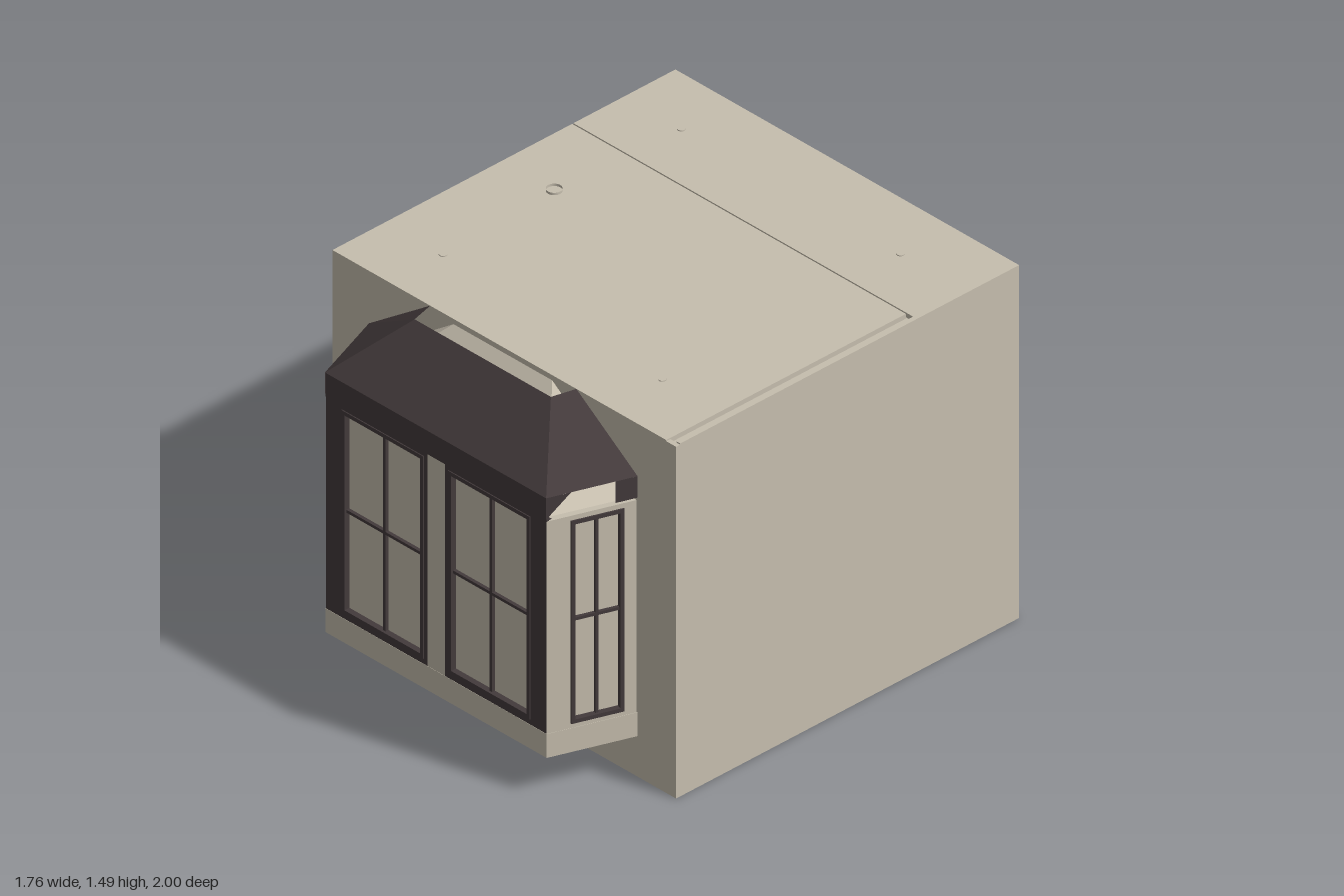
import * as THREE from 'three';

export function createModel() {
  const root = new THREE.Group();
  const wall = new THREE.MeshStandardMaterial({ name: 'warm plaster', color: 0xc6beae });
  const plaster = new THREE.MeshStandardMaterial({ name: 'warm plaster lining', color: 0xc6beae, side: THREE.DoubleSide });
  const dark = new THREE.MeshStandardMaterial({ name: 'dark timber', color: 0x433a3b, side: THREE.DoubleSide });
  const black = new THREE.MeshStandardMaterial({ name: 'black metal', color: 0x252223 });

  const add = (parent, name, geo, mat) => {
    const m = new THREE.Mesh(geo, mat);
    m.name = name;
    parent.add(m);
    return m;
  };
  // box given by its lower and upper limits
  const box = (parent, name, mat, x0, x1, y0, y1, z0, z1) => {
    const m = add(parent, name, new THREE.BoxGeometry(x1 - x0, y1 - y0, z1 - z0), mat);
    m.position.set((x0 + x1) / 2, (y0 + y1) / 2, (z0 + z1) / 2);
    return m;
  };
  // flat polygons, fanned from their first corner
  const faces = (parent, name, mat, polys) => {
    const pos = [];
    for (const p of polys) for (let i = 1; i < p.length - 1; i++) pos.push(...p[0], ...p[i], ...p[i + 1]);
    const g = new THREE.BufferGeometry();
    g.setAttribute('position', new THREE.Float32BufferAttribute(pos, 3));
    g.computeVertexNormals();
    return add(parent, name, g, mat);
  };
  // four rails around an opening, facing local +z
  const frame = (parent, name, mat, x0, x1, y0, y1, t, z0, z1) => {
    box(parent, name, mat, x0, x0 + t, y0, y1, z0, z1);
    box(parent, name, mat, x1 - t, x1, y0, y1, z0, z1);
    box(parent, name, mat, x0 + t, x1 - t, y0, y0 + t, z0, z1);
    box(parent, name, mat, x0 + t, x1 - t, y1 - t, y1, z0, z1);
  };

  // room shell
  const room = new THREE.Group();
  room.name = 'room';
  root.add(room);
  box(room, 'roomCore', wall, -0.85, 0.85, 0.02, 1.46, -0.96, 0.65);
  box(room, 'frontWall', wall, -0.87, 0.87, 0, 1.475, 0.65, 0.67);
  box(room, 'rightWall', wall, 0.85, 0.87, 0, 1.48, -1, 0.65);
  box(room, 'floor', wall, -0.87, 0.85, 0, 0.02, -1, 0.65);
  box(room, 'rearCeiling', wall, -0.87, 0.85, 1.46, 1.48, -1, -0.503);
  box(room, 'frontCeiling', wall, -0.87, 0.82, 1.46, 1.48, -0.497, 0.67);

  // ceiling spots and round fixture
  for (const x of [-0.58, 0.53]) for (const z of [-0.75, 0.41]) {
    add(room, 'ceilingSpot', new THREE.CylinderGeometry(0.016, 0.016, 0.006, 12), wall).position.set(x, 1.481, z);
  }
  add(room, 'ceilingFixture', new THREE.CylinderGeometry(0.03, 0.03, 0.012, 20, 1, true), plaster).position.set(-0.605, 1.484, -0.155);

  // panelled door, local +z is its outer side
  const door = (x, z, turn, w, knobSide) => {
    const d = new THREE.Group();
    d.name = 'door';
    d.position.set(x, 0, z);
    d.rotation.y = turn;
    room.add(d);
    const h = w / 2;
    box(d, 'doorJamb', wall, -h, -h + 0.025, 0.02, 1.22, 0, 0.018);
    box(d, 'doorJamb', wall, h - 0.025, h, 0.02, 1.22, 0, 0.018);
    box(d, 'doorHead', wall, -h + 0.025, h - 0.025, 1.195, 1.22, 0, 0.018);
    box(d, 'doorLeaf', wall, -h + 0.03, h - 0.03, 0.025, 1.19, 0, 0.006);
    for (const [y0, y1] of [[0.12, 0.56], [0.64, 0.72], [0.8, 1.1]]) {
      box(d, 'doorPanel', wall, -h + 0.09, h - 0.09, y0, y1, 0.006, 0.01);
    }
    add(d, 'doorKnob', new THREE.SphereGeometry(0.015, 12, 8), black).position.set(knobSide * (h - 0.05), 0.47, 0.022);
  };
  door(0.3, -0.96, Math.PI, 0.42, -1);
  door(-0.235, -0.96, Math.PI, 0.42, 1);
  door(-0.85, 0.28, -Math.PI / 2, 0.42, -1);

  // wall columns, beams and rails
  box(room, 'rearColumn', wall, 0.0, 0.065, 0.02, 1.46, -0.985, -0.96);
  box(room, 'rearBeam', wall, 0.0, 0.85, 1.39, 1.43, -0.985, -0.96);
  box(room, 'sideColumn', wall, -0.87, -0.85, 0.02, 1.46, -0.12, 0);
  box(room, 'crownRail', wall, -0.865, -0.85, 1.36, 1.41, -0.96, -0.12);
  box(room, 'chairRail', wall, -0.865, -0.85, 0.46, 0.5, -0.96, -0.12);
  box(room, 'baseboard', wall, -0.865, -0.85, 0.02, 0.07, -0.96, -0.12);
  for (const y of [0.22, 0.72, 1.07]) box(room, 'sideHinge', black, -0.875, -0.85, y - 0.004, y + 0.004, 0.5, 0.53);

  // bay window
  const bay = new THREE.Group();
  bay.name = 'bayWindow';
  bay.position.x = -0.005;
  root.add(bay);
  const prism = (name, wb, wf, zf, y0, y1) => {
    const s = new THREE.Shape([[-wb, -0.67], [-wf, -zf], [wf, -zf], [wb, -0.67]].map(p => new THREE.Vector2(...p)));
    const g = new THREE.ExtrudeGeometry(s, { depth: y1 - y0, bevelEnabled: false });
    g.rotateX(-Math.PI / 2);
    add(bay, name, g, wall).position.y = y0;
  };
  prism('baySill', 0.68, 0.56, 0.997, 0.17, 0.27);
  prism('bayPanes', 0.66, 0.548, 0.975, 0.27, 1.16);

  // sash with a cross of glazing bars, local +z outwards
  const sash = (parent, x0, x1, y0, y1, z) => {
    frame(parent, 'sashFrame', dark, x0, x1, y0, y1, 0.016, z - 0.02, z + 0.004);
    const c = (x0 + x1) / 2;
    box(parent, 'glazingBar', dark, c - 0.006, c + 0.006, y0, y1, z - 0.02, z - 0.006);
    box(parent, 'glazingBar', dark, x0, x1, 0.714, 0.726, z - 0.02, z - 0.006);
  };
  for (const s of [-1, 1]) {
    // front casing and sash
    const span = (name, mat, a, b, y0, y1) =>
      box(bay, name, mat, Math.min(s * a, s * b), Math.max(s * a, s * b), y0, y1, 0.97, 0.996);
    span('frontJamb', dark, 0.475, 0.558, 0.27, 1.16);
    span('frontLowerRail', dark, 0.045, 0.475, 0.27, 0.295);
    span('frontUpperRail', dark, 0.045, 0.475, 1.14, 1.16);
    span('frontInnerStile', dark, 0.045, 0.065, 0.295, 1.14);
    sash(bay, s < 0 ? -0.477 : 0.063, s < 0 ? -0.063 : 0.477, 0.293, 1.142, 0.996);

    // angled side window
    const side = new THREE.Group();
    side.name = 'baySideWindow';
    side.position.set(s * 0.618, 0, 0.835);
    side.rotation.y = s * 1.22;
    bay.add(side);
    const a = s > 0 ? -0.08 : -0.125, b = s > 0 ? 0.125 : 0.08;
    box(side, 'sideStile', wall, -0.172, a, 0.27, 1.16, -0.02, 0);
    box(side, 'sideStile', wall, b, 0.172, 0.27, 1.16, -0.02, 0);
    box(side, 'sideLowerRail', wall, a, b, 0.27, 0.29, -0.02, 0);
    box(side, 'sideUpperRail', wall, a, b, 1.14, 1.16, -0.02, 0);
    sash(side, a, b, 0.29, 1.14, 0.002);
  }
  box(bay, 'centreMullion', wall, -0.045, 0.045, 0.27, 1.16, 0.97, 0.996);
  box(bay, 'frontFascia', dark, -0.56, 0.56, 1.16, 1.26, 0.985, 0.998);

  // hipped roof, open along the top by the wall
  const A = [-0.68, 1.26, 0.67], B = [-0.56, 1.26, 1], C = [0.56, 1.26, 1], D = [0.68, 1.26, 0.67];
  const E = [-0.37, 1.48, 0.67], F = [-0.345, 1.48, 0.77], G = [0.345, 1.48, 0.77], H = [0.37, 1.48, 0.67];
  faces(bay, 'bayRoof', dark, [[A, B, F, E], [B, C, G, F], [C, D, H, G]]);
  // the right fascia stops short of the front corner
  faces(bay, 'sideFascia', dark, [
    [[-0.68, 1.17, 0.67], [-0.56, 1.17, 1], B, A],
    [[0.651, 1.17, 0.75], [0.68, 1.17, 0.67], D, [0.651, 1.26, 0.75]],
    [[0.56, 1.17, 1], [0.593, 1.26, 0.91], C],
  ]);
  // inner sloping lining
  const I = [-0.25, 1.46, 0.672], J = [0.25, 1.46, 0.672];
  const K = [-0.545, 1.165, 0.98], L = [0.545, 1.165, 0.98];
  faces(bay, 'roofLining', plaster, [
    [K, L, J, I],
    [[-0.66, 1.165, 0.672], K, I],
    [L, [0.66, 1.165, 0.672], J],
  ]);
  return root;
}
